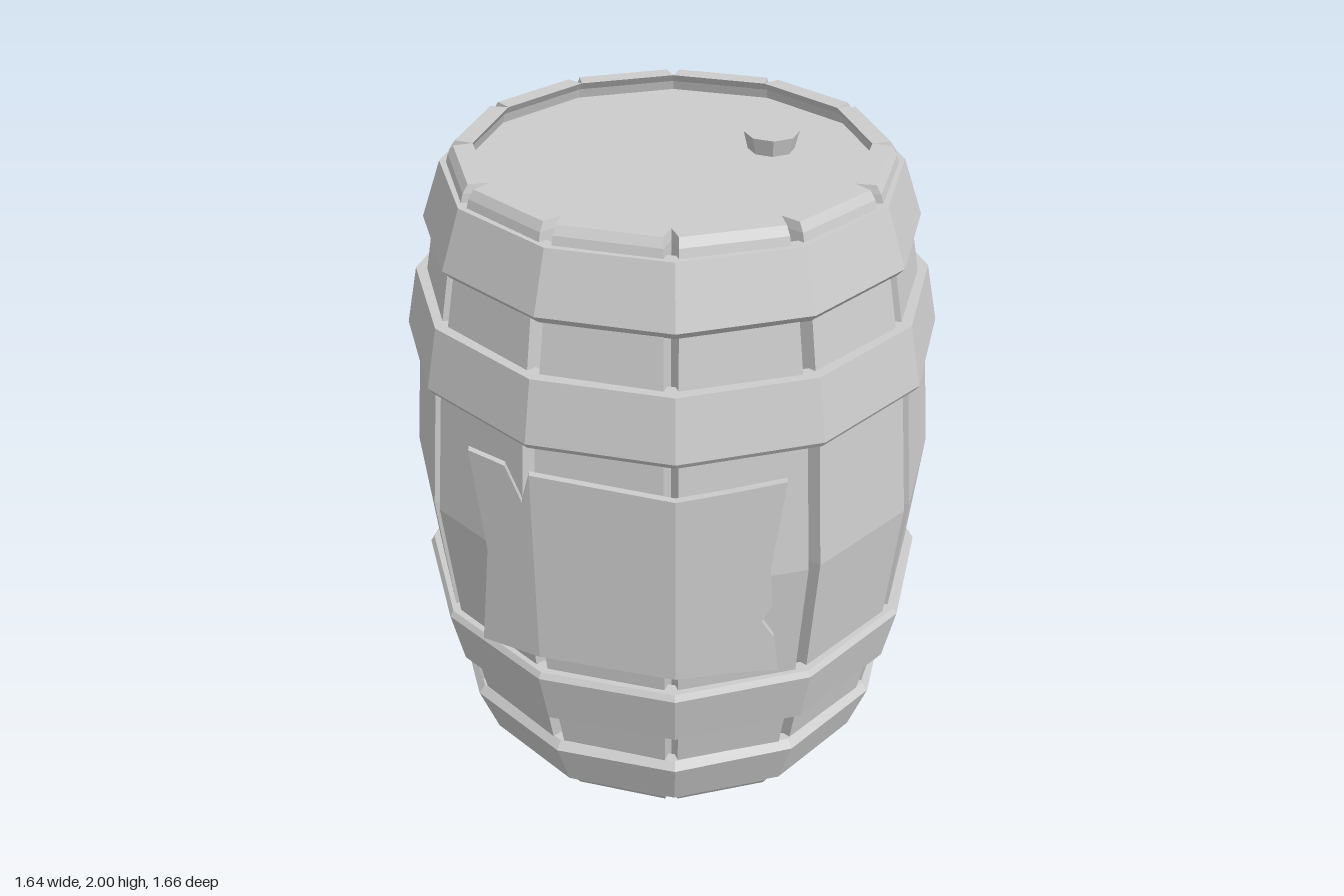
import * as THREE from 'three';

const SIDES = 12;
const material = new THREE.MeshStandardMaterial({ color: 0xcccccc, flatShading: true });

function add(parent, geometry, name) {
  const mesh = new THREE.Mesh(geometry, material);
  mesh.name = name;
  parent.add(mesh);
  return mesh;
}

// Stave: four-cornered cross-sections stacked up the bulging profile [y, radius].
// The back corners meet the neighbouring staves, the front corners leave a V groove.
function staveGeometry(profile) {
  const pos = [];
  const index = [];
  const half = Math.PI / SIDES;
  profile.forEach(([y, r], i) => {
    const front = half - 0.02 / r;
    const inner = r - 0.055;
    for (const [a, rad] of [[-front, r], [front, r], [half, inner], [-half, inner]]) {
      pos.push(rad * Math.sin(a), y, rad * Math.cos(a));
    }
    if (i === 0) return;
    for (let k = 0; k < 4; k++) {
      const a = (i - 1) * 4 + k, b = (i - 1) * 4 + (k + 1) % 4;
      index.push(a, b, b + 4, a, b + 4, a + 4);
    }
  });
  const t = (profile.length - 1) * 4;
  index.push(0, 2, 1, 0, 3, 2, t, t + 1, t + 2, t, t + 2, t + 3);
  const geometry = new THREE.BufferGeometry();
  geometry.setAttribute('position', new THREE.Float32BufferAttribute(pos, 3));
  geometry.setIndex(index);
  geometry.computeVertexNormals();
  return geometry;
}

// Hoop: closed ring section, given for the lower half of the barrel
function hoopGeometry(section, mirrored) {
  let pts = section.map(([r, y]) => new THREE.Vector2(r, mirrored ? 2 - y : y));
  if (mirrored) pts.reverse();
  pts.push(pts[0].clone());
  return new THREE.LatheGeometry(pts, SIDES);
}

// Notice: one flat strip per fold, each extruded and then sheared onto its slope
function noticeStrip(outline, [x0, z0], [x1, z1], thickness) {
  const shape = new THREE.Shape(outline.map(([x, y]) => new THREE.Vector2(x, y)));
  const geometry = new THREE.ExtrudeGeometry(shape, { depth: thickness, bevelEnabled: false });
  const p = geometry.attributes.position;
  for (let i = 0; i < p.count; i++) {
    const slope = z0 + (z1 - z0) * (p.getX(i) - x0) / (x1 - x0);
    p.setZ(i, p.getZ(i) - thickness + slope);
  }
  geometry.computeVertexNormals();
  return geometry;
}

export function createModel() {
  const model = new THREE.Group();
  model.name = 'barrel';
  const body = new THREE.Group();
  body.name = 'barrelBody';
  body.position.z = -0.012;
  model.add(body);

  // Staves
  const lower = [[0, 0.635], [0.025, 0.652], [0.25, 0.715], [0.6, 0.782], [1, 0.82]];
  const upper = lower.slice(0, -1).reverse().map(([y, r]) => [2 - y, r]);
  const stave = staveGeometry([...lower, ...upper]);
  const staves = new THREE.Group();
  staves.name = 'staves';
  staves.rotation.y = -0.015;
  body.add(staves);
  for (let i = 0; i < SIDES; i++) {
    add(staves, stave, 'stave').rotation.y = (i + 0.5) * 2 * Math.PI / SIDES;
  }

  // Hoops, mirrored top and bottom
  const endHoop = [[0.64, 0.05], [0.68, 0.05], [0.742, 0.225], [0.72, 0.25], [0.69, 0.25]];
  const bellyHoop = [[0.72, 0.395], [0.778, 0.395], [0.817, 0.58], [0.805, 0.598], [0.76, 0.598]];
  for (const mirrored of [false, true]) {
    const end = mirrored ? 'upper' : 'lower';
    add(body, hoopGeometry(endHoop, mirrored), end + 'EndHoop');
    add(body, hoopGeometry(bellyHoop, mirrored), end + 'BellyHoop');
  }

  // Recessed heads and the plug
  const head = new THREE.CylinderGeometry(0.61, 0.61, 0.04, SIDES);
  add(body, head, 'topHead').position.y = 1.925;
  add(body, head, 'bottomHead').position.y = 0.055;
  add(body, new THREE.CylinderGeometry(0.083, 0.068, 0.06, 8), 'plug').position.set(0.295, 1.968, -0.098);

  // Torn notice wrapped around the front
  const folds = [[-0.575, 0.615], [-0.4, 0.722], [0, 0.828], [0.305, 0.768]];
  const outlines = [
    [[-0.575, 0.675], [-0.4, 0.69], [-0.4, 1.335], [-0.425, 1.235], [-0.47, 1.34], [-0.575, 1.35], [-0.54, 1.02]],
    [[-0.4, 0.69], [0, 0.69], [0, 1.315], [-0.4, 1.335]],
    [[0, 0.69], [0.15, 0.688], [0.302, 0.675], [0.285, 0.8], [0.248, 0.865], [0.278, 0.92], [0.268, 1.05],
      [0.305, 1.34], [0.15, 1.325], [0, 1.315]],
  ];
  const notice = new THREE.Group();
  notice.name = 'notice';
  model.add(notice);
  outlines.forEach((o, i) => add(notice, noticeStrip(o, folds[i], folds[i + 1], 0.022), 'noticeStrip'));
  return model;
}
